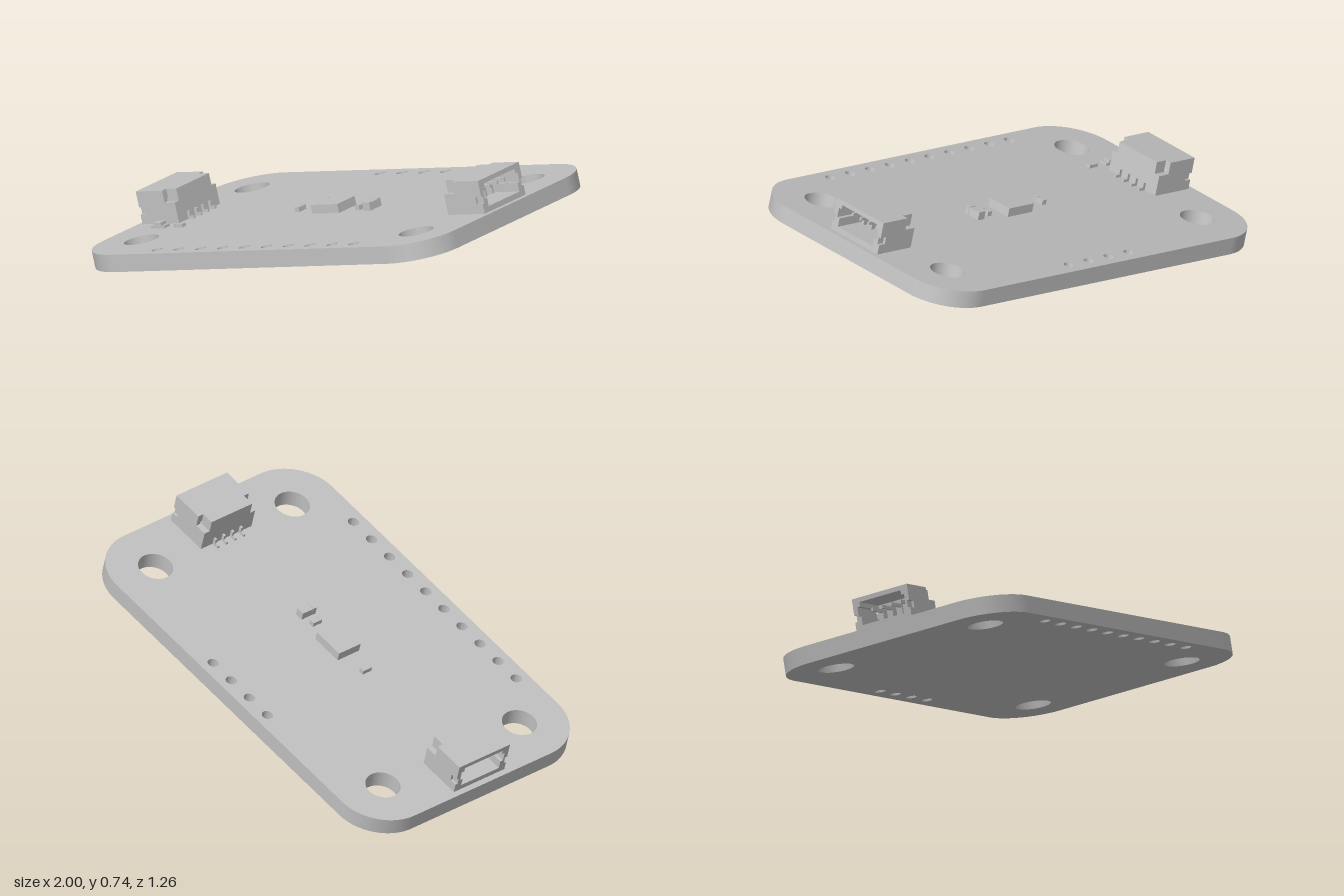
import * as THREE from 'three';
import { toCreasedNormals } from 'three/addons/utils/BufferGeometryUtils.js';

const grey = new THREE.MeshStandardMaterial({ color: 0xc0c0c0 });
grey.name = 'plain grey';

const LENGTH = 2.035, WIDTH = 1.257, THICK = 0.08, TILT = Math.PI / 12;

function add(parent, name, geometry) {
  const mesh = new THREE.Mesh(geometry, grey);
  mesh.name = name;
  parent.add(mesh);
  return mesh;
}

// Box spanning x0..x1, y0..y1 and centred on z
function block(parent, name, x0, x1, y0, y1, z, depth) {
  const mesh = add(parent, name, new THREE.BoxGeometry(x1 - x0, y1 - y0, depth));
  mesh.position.set((x0 + x1) / 2, (y0 + y1) / 2, z);
  return mesh;
}

// Closed outline, symmetric about z = 0, from its +z half listed bottom to top
function mirrored(half, Type = THREE.Shape) {
  const other = half.map(([z, y]) => [-z, y]).reverse();
  return new Type([...half, ...other].map(([z, y]) => new THREE.Vector2(z, y)));
}

// Rounded board with mounting holes and two rows of pin holes
function circuitBoard(parent) {
  const w = LENGTH / 2, h = WIDTH / 2, r = 0.23;
  const shape = new THREE.Shape();
  shape.moveTo(-w + r, -h);
  shape.lineTo(w - r, -h);
  shape.absarc(w - r, -h + r, r, -Math.PI / 2, 0);
  shape.lineTo(w, h - r);
  shape.absarc(w - r, h - r, r, 0, Math.PI / 2);
  shape.lineTo(-w + r, h);
  shape.absarc(-w + r, h - r, r, Math.PI / 2, Math.PI);
  shape.lineTo(-w, -h + r);
  shape.absarc(-w + r, -h + r, r, Math.PI, Math.PI * 1.5);

  const hole = (x, z, radius) =>
    shape.holes.push(new THREE.Path().absarc(x, -z, radius, 0, Math.PI * 2, true));
  for (const x of [-0.795, 0.795]) for (const z of [-0.398, 0.398]) hole(x, z, 0.079);
  for (const [count, z] of [[10, 0.567], [4, -0.567]])
    for (let i = 0; i < count; i++) hole((i - (count - 1) / 2) * 0.1265, z, 0.025);

  const geometry = new THREE.ExtrudeGeometry(shape, { depth: THICK, bevelEnabled: false, curveSegments: 20 });
  geometry.rotateX(-Math.PI / 2);
  add(parent, 'circuitBoard', toCreasedNormals(geometry, 0.6));
}

// Side-entry socket whose mouth faces +x, sitting on y = 0
function connector(name) {
  const group = new THREE.Group();
  group.name = name;
  const W = 0.147, H = 0.151, rear = 0.779, mid = 0.837, lip = 0.955, front = 0.99;

  // Slices along x: solid back with cut corners, hollow middle, notched lip
  const back = mirrored([[W, 0], [W, 0.095], [0.118, 0.095], [0.118, H]]);
  const middle = mirrored([[W, 0], [W, H]]);
  const rim = mirrored([[W, 0], [W, 0.045], [0.135, 0.045], [0.135, 0.078], [W, 0.078], [W, H]]);
  const mouth = [[0.11, 0.025], [0.11, 0.065], [0.125, 0.065], [0.125, 0.11], [0.11, 0.11], [0.11, 0.13]];
  for (const s of [middle, rim]) s.holes.push(mirrored(mouth, THREE.Path));
  const slices = [['housingBack', back, rear, mid], ['housingMiddle', middle, mid, lip], ['housingRim', rim, lip, front]];
  for (const [part, shape, x0, x1] of slices) {
    const g = new THREE.ExtrudeGeometry(shape, { depth: x1 - x0, bevelEnabled: false });
    g.rotateY(Math.PI / 2).translate(x0, 0, 0);
    add(group, part, g);
  }

  // Contacts inside the mouth and solder legs behind the housing
  for (let i = 0; i < 4; i++) {
    const z = (i - 1.5) * 0.05;
    block(group, 'contact', mid, 0.95, 0.085, 0.1, z, 0.01);
    block(group, 'contactRoot', mid, 0.87, 0.03, 0.085, z, 0.01);
    block(group, 'solderLeg', 0.744, rear, 0, 0.012, z, 0.01);
    block(group, 'legRiser', 0.765, rear, 0.012, 0.035, z, 0.01);
  }
  return group;
}

// Small two-terminal part with slightly taller end caps
function passive(parent, name, x, z, sx, sy, sz, alongX) {
  const group = new THREE.Group();
  group.name = name;
  group.position.set(x, 0, z);
  const long = alongX ? sx : sz, short = alongX ? sz : sx, cap = long * 0.22;
  block(group, 'core', -long / 2 + cap, long / 2 - cap, 0, sy * 0.92, 0, short * 0.94);
  for (const s of [-1, 1]) {
    const c = s * (long - cap) / 2;
    block(group, 'endCap', c - cap / 2, c + cap / 2, 0, sy, 0, short);
  }
  if (!alongX) group.rotation.y = Math.PI / 2;
  parent.add(group);
}

export function createModel() {
  const model = new THREE.Group();
  model.name = 'sensorBoard';
  const tilted = new THREE.Group();
  tilted.name = 'tiltedBoard';
  tilted.rotation.z = TILT;
  tilted.position.set(0.0165, (LENGTH / 2) * Math.sin(TILT), 0);
  model.add(tilted);

  circuitBoard(tilted);

  const components = new THREE.Group();
  components.name = 'components';
  components.position.y = THICK;
  tilted.add(components);

  // Sockets at both ends
  const leftSocket = connector('leftConnector');
  const rightSocket = connector('rightConnector');
  rightSocket.rotation.y = Math.PI;
  components.add(leftSocket, rightSocket);

  // Central chip with its orientation dot
  block(components, 'sensorChip', -0.078, 0.077, 0, 0.041, -0.002, 0.125);
  const dot = add(components, 'chipDot', new THREE.CylinderGeometry(0.005, 0.005, 0.002, 16));
  dot.position.set(-0.06, 0.042, -0.042);

  // Capacitors and resistors
  passive(components, 'leftCapacitor', -0.193, 0, 0.025, 0.022, 0.05, false);
  passive(components, 'rightCapacitor', 0.155, 0, 0.025, 0.022, 0.05, false);
  passive(components, 'largeCapacitor', 0.223, 0, 0.04, 0.038, 0.08, false);
  passive(components, 'resistor', -0.727, 0.205, 0.05, 0.016, 0.024, true);

  // Indicator lamp
  passive(components, 'lampBase', -0.84, 0.205, 0.08, 0.012, 0.038, true);
  block(components, 'lampLens', -0.862, -0.818, 0, 0.026, 0.205, 0.036);
  return model;
}
